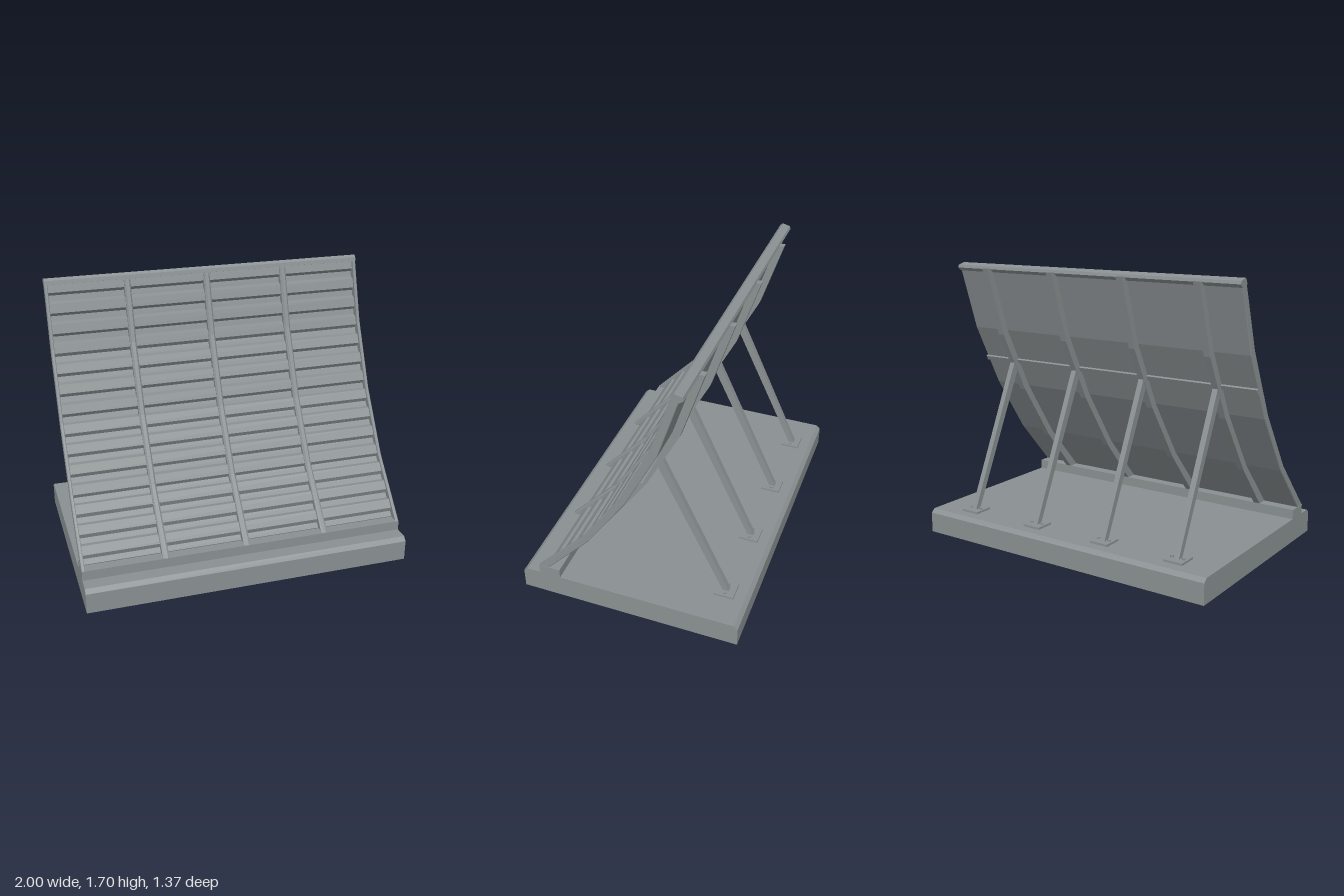
import * as THREE from 'three';

const steel = new THREE.MeshStandardMaterial({ color: 0x8a9092 });
steel.name = 'grey steel and concrete';

// Curves of the screen as [z, y], from foot to top
const FRONT = [[0.575, 0.21], [0.27, 0.54], [0.03, 0.9], [-0.165, 1.3], [-0.285, 1.665]];
const MID = [[0.51, 0.21], [0.235, 0.515], [-0.01, 0.88], [-0.21, 1.275], [-0.338, 1.675]];
const BACK = [[0.44, 0.21], [0.2, 0.49], [-0.05, 0.86], [-0.25, 1.25], [-0.388, 1.678]];

// Extrude a [z, y] outline along x, centred on x; bevel chamfers the edges
function slab(name, outline, x, width, bevel = 0) {
  const shape = new THREE.Shape(outline.map(([z, y]) => new THREE.Vector2(z, y)));
  const geo = new THREE.ExtrudeGeometry(shape, {
    depth: width - 2 * bevel,
    bevelEnabled: bevel > 0,
    bevelSize: bevel,
    bevelThickness: bevel,
    bevelOffset: -bevel,
    bevelSegments: 1,
  });
  geo.translate(0, 0, -(width - 2 * bevel) / 2);
  geo.rotateY(-Math.PI / 2);
  const mesh = new THREE.Mesh(geo, steel);
  mesh.name = name;
  mesh.position.x = x;
  return mesh;
}

// Point on the middle curve at arc length s, pushed forward by off
function along(s, off) {
  for (let i = 0; i < MID.length - 1; i++) {
    const [z0, y0] = MID[i], [z1, y1] = MID[i + 1];
    const len = Math.hypot(z1 - z0, y1 - y0);
    if (s <= len || i === MID.length - 2) {
      const dz = (z1 - z0) / len, dy = (y1 - y0) / len;
      return [z0 + dz * s + dy * off, y0 + dy * s - dz * off];
    }
    s -= len;
  }
}

export function createModel() {
  const model = new THREE.Group();

  // Concrete base with chamfered long edges, and the kerb the screen stands on
  model.add(slab('base', [
    [0.685, 0], [0.685, 0.127], [0.66, 0.15], [-0.66, 0.15], [-0.685, 0.127], [-0.685, 0],
  ], 0, 2));
  model.add(slab('kerb', [[0.575, 0.14], [0.575, 0.21], [0.44, 0.21], [0.44, 0.14]], 0, 2));

  // Corrugated screen: trapezoid waves in front, plain sheet behind
  let total = 0;
  for (let i = 1; i < MID.length; i++) {
    total += Math.hypot(MID[i][0] - MID[i - 1][0], MID[i][1] - MID[i - 1][1]);
  }
  const waves = 14, pitch = total / waves, wave = [];
  for (let i = 0; i < waves; i++) {
    for (const [t, off] of [[0.02, 0.005], [0.3, 0.005], [0.42, 0.03], [0.88, 0.03]]) {
      wave.push(along((i + t) * pitch, off));
    }
  }
  wave.push(along(total, 0.005));
  model.add(slab('corrugatedScreen', [...wave, ...MID.slice().reverse()], 0, 1.99));

  // Overlap seam between lower and upper panels
  const seam = new THREE.Mesh(new THREE.BoxGeometry(1.996, 0.03, 0.02), steel);
  seam.name = 'panelSeam';
  seam.position.set(0, 1.06, -0.106);
  seam.rotation.x = -0.47;
  model.add(seam);

  // Front ribs, half as wide at the two edges
  const frontOutline = [...FRONT, ...MID.slice().reverse()];
  for (const x of [-0.5, 0, 0.5]) model.add(slab('frontRib', frontOutline, x, 0.04, 0.01));
  for (const x of [-0.99, 0.99]) model.add(slab('edgeRib', frontOutline, x, 0.02, 0.004));

  // Rail along the top
  model.add(slab('topRail', [
    [-0.284, 1.667], [-0.29, 1.69], [-0.306, 1.703], [-0.352, 1.69], [-0.358, 1.672], [-0.335, 1.652],
  ], 0, 2));

  // Back ribs, each with a strut, foot plate and anchor bolts
  const backOutline = [...MID, ...BACK.slice().reverse()];
  for (const x of [-0.75, -0.25, 0.25, 0.75]) {
    model.add(slab('backRib', backOutline, x, 0.04));
    model.add(slab('strut', [
      [-0.11, 1.02], [-0.145, 1.06], [-0.558, 0.158], [-0.52, 0.158],
    ], x, 0.034));

    const plate = new THREE.Mesh(new THREE.BoxGeometry(0.12, 0.014, 0.12), steel);
    plate.name = 'footPlate';
    plate.position.set(x, 0.156, -0.535);
    model.add(plate);

    for (const side of [-1, 1]) {
      const bolt = new THREE.Mesh(new THREE.CylinderGeometry(0.01, 0.01, 0.012, 12), steel);
      bolt.name = 'anchorBolt';
      bolt.position.set(x + side * 0.038, 0.167, -0.537);
      model.add(bolt);
    }
  }
  return model;
}
